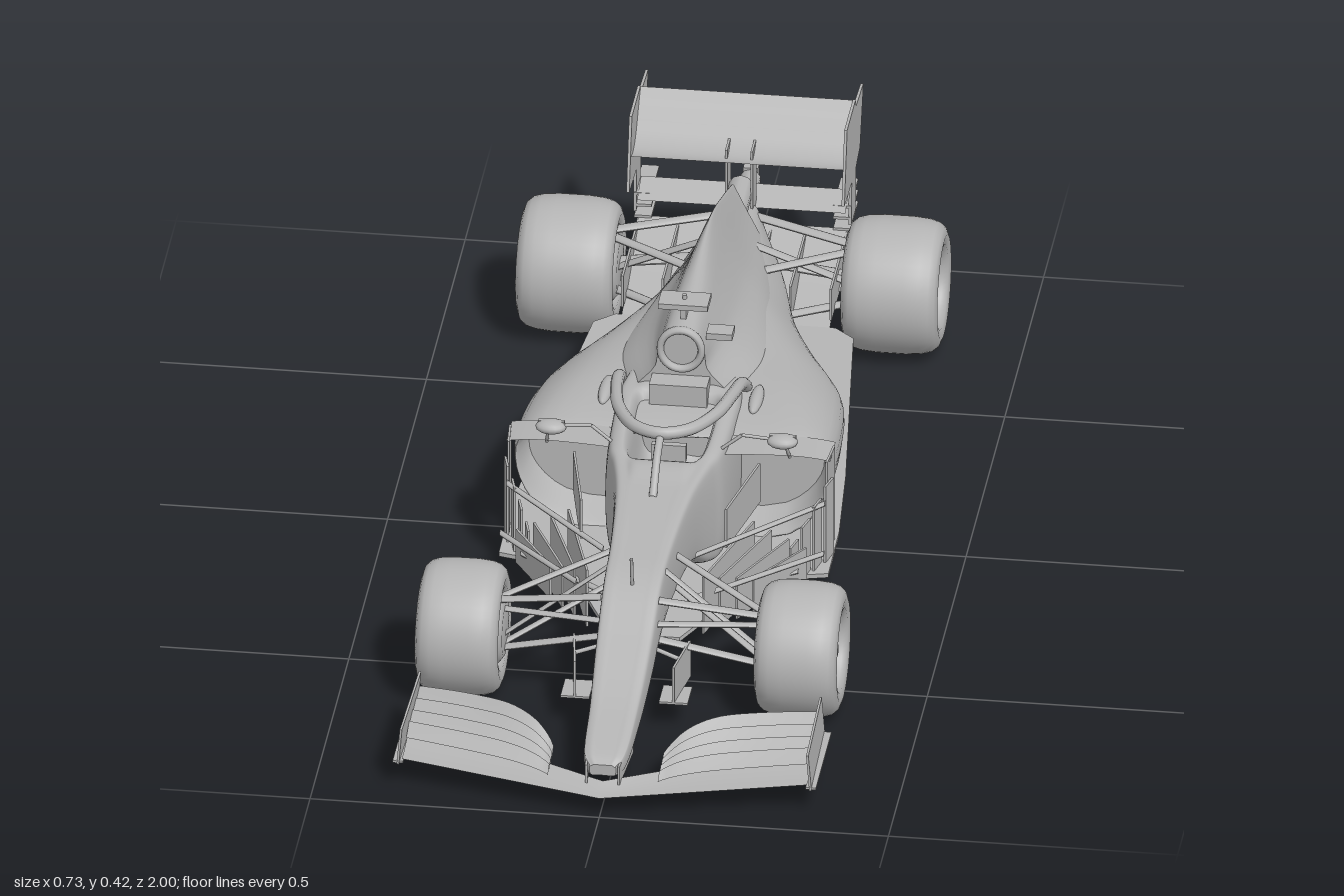
import * as THREE from 'three';
import { mergeGeometries } from 'three/addons/utils/BufferGeometryUtils.js';

const grey = new THREE.MeshStandardMaterial({ color: 0xb4b4b4, side: THREE.DoubleSide });
grey.name = 'bodyGrey';
const V = (x, y, z) => new THREE.Vector3(x, y, z);

export function createModel() {
  const car = new THREE.Group();
  car.name = 'racingCar';
  const add = (name, geo, parent = car) => {
    const m = new THREE.Mesh(geo, grey);
    m.name = name;
    parent.add(m);
    return m;
  };
  const box = (name, w, h, d, x, y, z, parent) => {
    const m = add(name, new THREE.BoxGeometry(w, h, d), parent);
    m.position.set(x, y, z);
    return m;
  };
  const rod = (name, a, b, r = 0.005) => {
    const m = add(name, new THREE.CylinderGeometry(r, r, a.distanceTo(b), 10));
    m.position.copy(a).lerp(b, 0.5);
    m.quaternion.setFromUnitVectors(V(0, 1, 0), b.clone().sub(a).normalize());
    return m;
  };
  const tube = (name, pts, r, n = 40) =>
    add(name, new THREE.TubeGeometry(new THREE.CatmullRomCurve3(pts), n, r, 10));
  // Curved sheet from a function of (u, v)
  const sheet = (name, fn, nu = 16, nv = 6) => {
    const pos = [], idx = [];
    for (let i = 0; i <= nu; i++) for (let j = 0; j <= nv; j++) {
      pos.push(...fn(i / nu, j / nv));
      const a = i * (nv + 1) + j, b = a + nv + 1;
      if (i < nu && j < nv) idx.push(a, b, a + 1, b, b + 1, a + 1);
    }
    const g = new THREE.BufferGeometry();
    g.setAttribute('position', new THREE.Float32BufferAttribute(pos, 3));
    g.setIndex(idx);
    g.computeVertexNormals();
    return name ? add(name, g) : g;
  };
  // Upright vane between two plan points
  const vane = (name, x1, z1, x2, z2, y1, y2) => {
    const m = box(name, 0.004, y2 - y1, Math.hypot(x2 - x1, z2 - z1), (x1 + x2) / 2, (y1 + y2) / 2, (z1 + z2) / 2);
    m.rotation.y = Math.atan2(x2 - x1, z2 - z1);
    return m;
  };
  // Flat aerofoil arm: a rod stretched along z
  const blade = (name, a, b, r) => sheet(name, (u, v) => {
    const t = v * Math.PI * 2, p = a.clone().lerp(b, u);
    return [p.x, p.y + Math.sin(t) * r * 0.8, p.z + Math.cos(t) * r * 1.7];
  }, 1, 12);
  // Smooth mirrored body through half sections: [z, [x, y] from top centre to bottom centre]
  const loft = (name, stations, nu = 48, nv = 48) => {
    const rings = stations.map(([z, half]) => {
      const left = half.slice(1).reverse().map(([x, y]) => V(-x, y, z));
      return new THREE.CatmullRomCurve3([...left, ...half.map(([x, y]) => V(x, y, z))]);
    });
    const lines = Array.from({ length: nu + 1 }, (_, i) => {
      const line = new THREE.CatmullRomCurve3(rings.map(r => r.getPoint(i / nu)));
      return line.getPoints(nv);
    });
    const skin = sheet(null, (u, v) => lines[Math.round(u * nu)][Math.round(v * nv)].toArray(), nu, nv);
    const caps = [0, nv].map(j => {
      const y = (lines[0][j].y + lines[nu / 2][j].y) / 2;
      return sheet(null, (u, v) => {
        const p = lines[Math.round(u * nu)][j];
        return [p.x * v, y + (p.y - y) * v, p.z];
      }, nu, 1);
    });
    return add(name, mergeGeometries([skin, ...caps]));
  };

  // Nose and tub: z, half width, top, bottom, dip for the cockpit
  loft('noseAndTub', [
    [0.955, 0.022, 0.084, 0.064, 0], [0.935, 0.033, 0.094, 0.062, 0], [0.8, 0.042, 0.126, 0.07, 0],
    [0.68, 0.048, 0.178, 0.1, 0], [0.57, 0.051, 0.232, 0.13, 0], [0.45, 0.055, 0.247, 0.135, 0],
    [0.28, 0.07, 0.259, 0.12, 0], [0.19, 0.088, 0.262, 0.07, 0], [0.15, 0.1, 0.264, 0.06, 0.09],
    [0.0, 0.108, 0.272, 0.055, 0.1], [-0.04, 0.108, 0.275, 0.055, 0], [-0.12, 0.1, 0.27, 0.055, 0],
  ].map(([z, w, t, b, d]) => [z, [[0, t - d], [w * 0.45, t - d], [w * 0.7, t], [w * 0.92, t - 0.003],
    [w, t - (t - b) * 0.14], [w, b + (t - b) * 0.14], [w * 0.9, b], [0, b]]]), 84, 72);
  // Side pods wrapping into the gearbox, with recessed inlets
  loft('sidePods', [
    [0.0, [[0, 0.23], [0.1, 0.23], [0.21, 0.225], [0.25, 0.205], [0.25, 0.15], [0.19, 0.09], [0, 0.08]]],
    [0.065, [[0, 0.24], [0.1, 0.242], [0.22, 0.24], [0.264, 0.215], [0.262, 0.14], [0.2, 0.065], [0, 0.055]]],
    [0.04, [[0, 0.25], [0.1, 0.25], [0.225, 0.246], [0.27, 0.215], [0.268, 0.14], [0.21, 0.058], [0, 0.055]]],
    [-0.1, [[0, 0.26], [0.1, 0.257], [0.2, 0.248], [0.267, 0.2], [0.265, 0.12], [0.23, 0.06], [0, 0.055]]],
    [-0.25, [[0, 0.26], [0.1, 0.25], [0.18, 0.228], [0.247, 0.17], [0.248, 0.11], [0.22, 0.065], [0, 0.06]]],
    [-0.4, [[0, 0.25], [0.08, 0.24], [0.135, 0.21], [0.185, 0.15], [0.188, 0.1], [0.17, 0.07], [0, 0.065]]],
    [-0.55, [[0, 0.24], [0.05, 0.228], [0.095, 0.19], [0.128, 0.14], [0.135, 0.1], [0.12, 0.075], [0, 0.07]]],
    [-0.7, [[0, 0.23], [0.04, 0.22], [0.07, 0.18], [0.09, 0.14], [0.09, 0.11], [0.08, 0.085], [0, 0.08]]],
    [-0.82, [[0, 0.215], [0.025, 0.21], [0.035, 0.19], [0.04, 0.17], [0.04, 0.15], [0.035, 0.13], [0, 0.125]]],
  ]);
  // Engine cover and spine
  loft('engineCover', [
    [-0.055, [[0, 0.388], [0.026, 0.378], [0.04, 0.345], [0.045, 0.31], [0.085, 0.26], [0.1, 0.2], [0, 0.18]]],
    [-0.2, [[0, 0.395], [0.02, 0.385], [0.044, 0.34], [0.066, 0.3], [0.125, 0.245], [0.15, 0.2], [0, 0.18]]],
    [-0.44, [[0, 0.395], [0.006, 0.386], [0.034, 0.32], [0.06, 0.27], [0.1, 0.22], [0.12, 0.16], [0, 0.14]]],
    [-0.6, [[0, 0.348], [0.006, 0.338], [0.03, 0.28], [0.05, 0.24], [0.08, 0.19], [0.095, 0.13], [0, 0.12]]],
    [-0.72, [[0, 0.305], [0.006, 0.295], [0.025, 0.255], [0.04, 0.225], [0.06, 0.18], [0.07, 0.13], [0, 0.12]]],
  ]);
  // Air intake, camera bar, cockpit details
  const lip = add('airIntakeLip', new THREE.TorusGeometry(0.034, 0.006, 10, 32));
  lip.position.set(0, 0.347, -0.052);
  lip.scale.set(1.05, 1.1, 1.5);
  box('cameraStalk', 0.01, 0.035, 0.035, 0, 0.4, -0.1);
  box('cameraBar', 0.086, 0.01, 0.05, 0, 0.415, -0.1);
  rod('topAntenna', V(0, 0.415, -0.1), V(0, 0.428, -0.1), 0.004);
  box('sideCamera', 0.045, 0.012, 0.035, 0.062, 0.358, -0.1);
  box('headrest', 0.1, 0.05, 0.05, 0, 0.27, -0.04);
  box('steeringWheel', 0.06, 0.03, 0.012, 0, 0.23, 0.1);
  rod('noseAntenna', V(0, 0.23, 0.575), V(0, 0.285, 0.585), 0.003);
  tube('haloHoop', [V(-0.108, 0.262, -0.09), V(-0.106, 0.292, -0.045), V(-0.1, 0.31, 0.03), V(-0.083, 0.32, 0.12), V(-0.045, 0.325, 0.19),
    V(0, 0.327, 0.212), V(0.045, 0.325, 0.19), V(0.083, 0.32, 0.12), V(0.1, 0.31, 0.03), V(0.106, 0.292, -0.045), V(0.108, 0.262, -0.09)], 0.011, 64);
  tube('haloPillar', [V(0, 0.326, 0.208), V(0, 0.305, 0.255), V(0, 0.255, 0.31)], 0.007);

  // Raked floor and plank
  const flat = (name, half, thick, drop) => {
    const s = new THREE.Shape([...half, ...half.slice().reverse().map(([x, z]) => [-x, z])].map(([x, z]) => new THREE.Vector2(x, -z)));
    const g = new THREE.ExtrudeGeometry(s, { depth: thick, bevelEnabled: false }).rotateX(-Math.PI / 2);
    const p = g.attributes.position;
    for (let i = 0; i < p.count; i++) p.setY(i, p.getY(i) + 0.05 - 0.045 * p.getZ(i) - drop);
    g.computeVertexNormals();
    add(name, g);
  };
  flat('floor', [[0.06, 0.41], [0.1, 0.33], [0.16, 0.2], [0.285, 0.17], [0.285, 0.03], [0.272, -0.15], [0.225, -0.6], [0.19, -0.63]], 0.008, 0);
  flat('plank', [[0.045, 0.41], [0.06, 0.38], [0.06, -0.1], [0.05, -0.6]], 0.012, 0.008);
  sheet('diffuser', (u, v) => [(u - 0.5) * 0.36, 0.08 + 0.08 * v ** 1.3, -0.6 - 0.25 * v], 8, 8);
  for (const x of [-0.18, -0.11, -0.05, 0.05, 0.11, 0.18]) vane('diffuserStrake', x, -0.64, x, -0.85, 0.095, 0.155);

  // Front wing
  const lead = x => [0.043 + 0.045 * x, 1.0 - 0.19 * x];
  sheet('frontWingMain', (u, v) => {
    const x = (u - 0.5) * 0.7, a = Math.abs(x), [y, z] = lead(a);
    return [x, y + 0.01 * v * v, z - (0.045 + 0.035 * Math.min(1, a / 0.15)) * v];
  }, 40, 4);
  // Trailing edge height rolls down at the inner tips
  const rim = new THREE.CatmullRomCurve3([V(0, 0.076, 0), V(0.12, 0.1, 0), V(0.3, 0.113, 0), V(0.6, 0.108, 0), V(1, 0.094, 0)]);
  for (const s of [1, -1]) {
    for (let k = 0; k < 4; k++) sheet('frontWingFlap', (u, v) => {
      const p = rim.getPoint(u), x = 0.095 + 0.255 * p.x, [y, z] = lead(x);
      const w = 0.27 + 0.18 * k + 0.19 * v, back = 0.88 - 0.15 * p.x ** 0.65;
      return [s * x, y + 0.003 * (4 - k) + (p.y - y - 0.006) * w ** 1.3 - 0.006 * (1 - v), z + (back - z) * w];
    }, 20, 4);
    vane('frontEndplate', s * 0.354, 0.938, s * 0.349, 0.728, 0.05, 0.118).rotation.z = s * -0.08;
    box('endplateFoot', 0.018, 0.004, 0.2, s * 0.357, 0.053, 0.835);
    vane('wingPylon', s * 0.028, 0.96, s * 0.036, 0.84, 0.05, 0.085);
    vane('noseTurningVane', s * 0.085, 0.68, s * 0.1, 0.58, 0.06, 0.13);
    box('turningVaneFoot', 0.05, 0.004, 0.06, s * 0.085, 0.06, 0.65);
    rod('turningVaneStay', V(s * 0.04, 0.14, 0.63), V(s * 0.092, 0.125, 0.64), 0.004);

    // Deflectors beside the tub
    for (let k = 0; k < 4; k++) {
      vane('bargeboard', s * (0.1 + 0.025 * k), 0.41 - 0.03 * k, s * (0.16 + 0.03 * k), 0.2, 0.05, 0.16 - 0.015 * k);
      vane('podDeflector', s * (0.283 - 0.016 * k), 0.1 + 0.03 * k, s * (0.274 - 0.016 * k), 0.135 + 0.03 * k, 0.045, 0.2 - 0.025 * k);
    }
    vane('podPillar', s * 0.28, 0.06, s * 0.275, 0.12, 0.06, 0.24);
    sheet('podWing', (u, v) => [s * (0.1 + 0.18 * u), 0.248 - 0.012 * u ** 4, 0.13 - 0.02 * u - 0.07 * v], 12, 2);
    vane('upperDeflector', s * 0.125, 0.3, s * 0.16, 0.13, 0.16, 0.235);
    blade('deflectorStay', V(s * 0.08, 0.17, 0.35), V(s * 0.275, 0.17, 0.14), 0.005);
    blade('deflectorStay', V(s * 0.12, 0.13, 0.4), V(s * 0.28, 0.1, 0.19), 0.005);
    blade('deflectorStay', V(s * 0.07, 0.1, 0.38), V(s * 0.24, 0.08, 0.22), 0.005);

    // Mirrors, their brackets and the shoulder vents
    const pod = (name, w, h, d, x, y, z) => {
      const m = add(name, new THREE.SphereGeometry(1, 16, 10));
      m.scale.set(w, h, d);
      m.position.set(s * x, y, z);
    };
    pod('mirrorShell', 0.027, 0.012, 0.02, 0.2, 0.281, 0.13);
    box('mirrorGlass', 0.046, 0.018, 0.008, s * 0.2, 0.281, 0.125);
    pod('shoulderVent', 0.012, 0.012, 0.05, 0.13, 0.256, -0.055);
    rod('mirrorStay', V(s * 0.09, 0.255, 0.13), V(s * 0.13, 0.288, 0.13), 0.003);
    rod('mirrorStay', V(s * 0.13, 0.288, 0.13), V(s * 0.18, 0.284, 0.13), 0.003);
    rod('mirrorStay', V(s * 0.21, 0.24, 0.11), V(s * 0.205, 0.275, 0.13), 0.003);

    // Suspension: inner points to the hub
    const arms = (name, hub, list) => list.forEach(([x, y, z, hy, r]) => blade(name, V(s * x, y, z), V(s * hub[0], hy, hub[1]), r));
    arms('frontSuspension', [0.24, 0.57], [[0.05, 0.215, 0.6, 0.18, 0.006], [0.05, 0.21, 0.42, 0.18, 0.006],
      [0.045, 0.14, 0.6, 0.085, 0.006], [0.055, 0.145, 0.42, 0.085, 0.006], [0.05, 0.23, 0.52, 0.1, 0.005], [0.05, 0.18, 0.62, 0.165, 0.005]]);
    arms('rearSuspension', [0.23, -0.73], [[0.05, 0.2, -0.6, 0.19, 0.007], [0.03, 0.2, -0.8, 0.19, 0.007],
      [0.07, 0.12, -0.58, 0.09, 0.007], [0.03, 0.14, -0.79, 0.09, 0.007], [0.05, 0.22, -0.66, 0.11, 0.006], [0.03, 0.15, -0.74, 0.13, 0.009]]);

    // Rear wing endplates
    const plate = new THREE.Shape([[0.79, 0.385], [0.9, 0.385], [0.905, 0.37], [1.0, 0.362], [0.957, 0.262], [0.905, 0.25],
      [0.9, 0.17], [0.845, 0.17], [0.85, 0.25], [0.755, 0.255]].map(p => new THREE.Vector2(...p)));
    add('rearEndplate', new THREE.ExtrudeGeometry(plate, { depth: 0.005, bevelEnabled: false }).rotateY(Math.PI / 2))
      .position.x = s * 0.186 - 0.0025;
    for (let k = 0; k < 3; k++) box('rearLowerFin', 0.03, 0.005, 0.1, s * 0.172, 0.16 + 0.022 * k, -0.895);
    vane('wingPillar', s * 0.022, -0.8, s * 0.022, -0.85, 0.2, 0.325);

    wheel('frontWheel', s, 0.293, 0.57, 0.118, 0.072);
    wheel('rearWheel', s, 0.281, -0.728, 0.119, 0.084);
  }

  // Rear wing elements, crash structure and light
  sheet('rearWingMain', (u, v) => [(u - 0.5) * 0.37, 0.315 - 0.012 * Math.sin(v * 2.6) + 0.032 * v * v, -0.775 - 0.085 * v], 4, 10);
  sheet('rearWingFlap', (u, v) => [(u - 0.5) * 0.37, 0.335 + 0.048 * v ** 0.9, -0.855 - 0.047 * v], 4, 6);
  sheet('lowerBeamWing', (u, v) => [(u - 0.5) * 0.36, 0.2 + 0.02 * v, -0.83 - 0.05 * v], 4, 2);
  rod('crashStructure', V(0, 0.18, -0.8), V(0, 0.19, -0.95), 0.018);
  box('rearLight', 0.026, 0.04, 0.02, 0, 0.19, -0.96);
  rod('exhaust', V(0, 0.235, -0.68), V(0, 0.24, -0.83), 0.022);

  // Tyre, rim, spokes and brake drum; the axle runs along x
  function wheel(name, s, x, z, r, w) {
    const g = new THREE.Group();
    g.name = name;
    const prof = [[0.6, -0.55], [0.57, -0.85], [0.62, -0.96], [0.76, -1], [0.87, -0.94], [0.94, -0.82], [0.98, -0.62], [1, -0.3], [1, 0.3],
      [0.98, 0.62], [0.94, 0.82], [0.87, 0.94], [0.76, 1], [0.62, 0.96], [0.57, 0.85], [0.54, 0.6], [0.5, 0.45]];
    const lathe = pts => new THREE.LatheGeometry(pts.map(([a, b]) => new THREE.Vector2(a * r, b * w)), 48).rotateZ(-Math.PI / 2);
    add('tyre', lathe(prof), g);
    add('rimDisc', lathe([[0.001, 0.4], [0.3, 0.42], [0.56, 0.35]]), g);
    add('hub', lathe([[0.13, 0.35], [0.13, 0.8], [0.08, 0.86], [0.001, 0.86]]), g);
    add('brakeDrum', lathe([[0.001, -1.02], [0.4, -1.02], [0.5, -0.9], [0.58, -0.5]]), g);
    for (let k = 0; k < 10; k++) {
      const spoke = box('spoke', w * 0.2, r * 0.46, r * 0.07, w * 0.62, 0, 0, g);
      const a = k * Math.PI / 5;
      spoke.position.y = Math.cos(a) * r * 0.33;
      spoke.position.z = Math.sin(a) * r * 0.33;
      spoke.rotation.x = a;
    }
    g.position.set(s * x, r + 0.006, z);
    if (s < 0) g.rotation.y = Math.PI;
    car.add(g);
  }
  return car;
}
